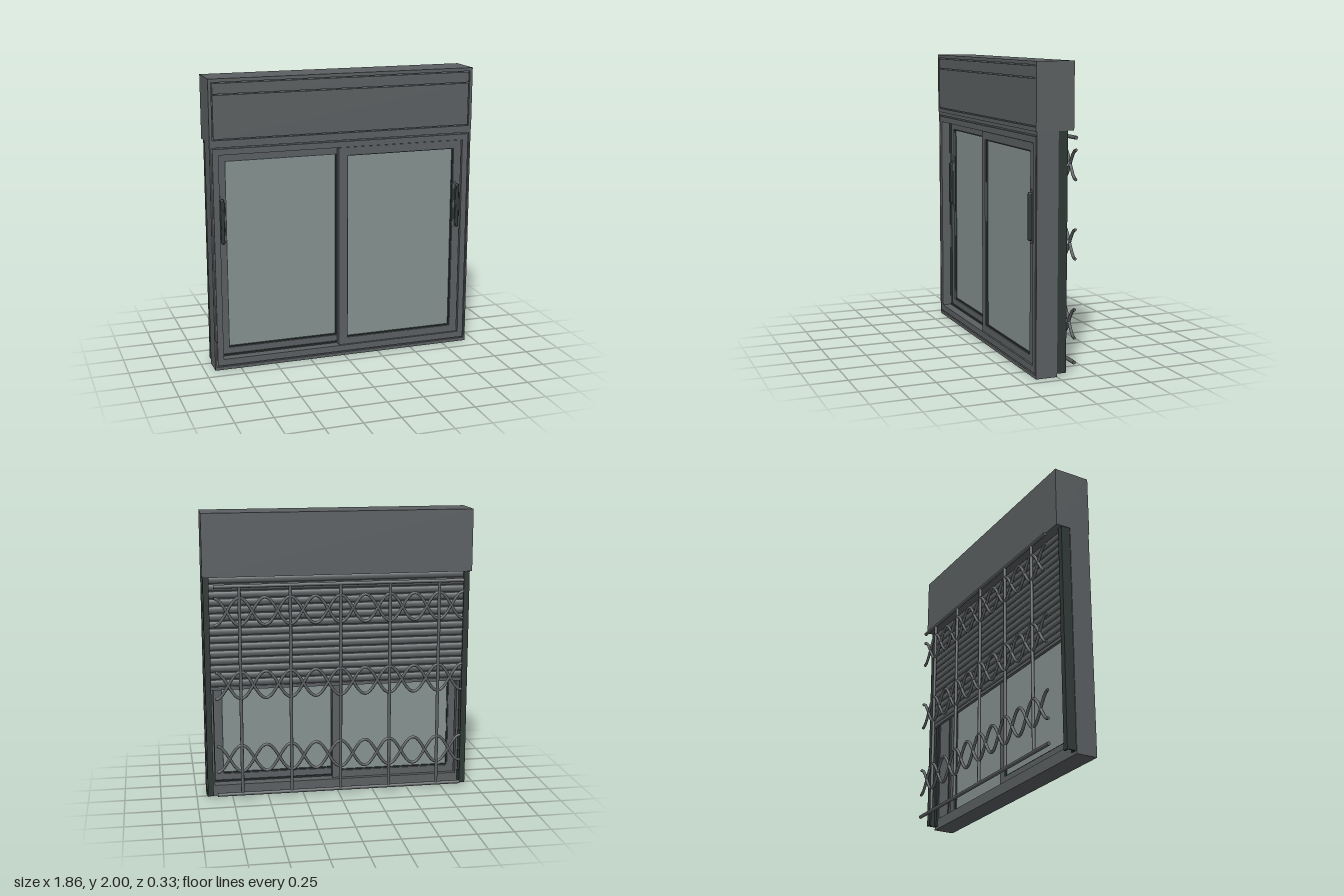
import * as THREE from 'three';

const paint = new THREE.MeshStandardMaterial({ color: 0x5c6062 });
paint.name = 'grey painted metal';
const glassMat = new THREE.MeshStandardMaterial({ color: 0x869291 });
glassMat.name = 'tinted glass';
const dark = new THREE.MeshStandardMaterial({ color: 0x303937 });
dark.name = 'dark rubber';

function add(parent, name, geometry, material) {
  const mesh = new THREE.Mesh(geometry, material);
  mesh.name = name;
  parent.add(mesh);
  return mesh;
}

// Box given by its limits on each axis
function block(parent, name, [x0, x1], [y0, y1], [z0, z1], material = paint) {
  const mesh = add(parent, name, new THREE.BoxGeometry(x1 - x0, y1 - y0, z1 - z0), material);
  mesh.position.set((x0 + x1) / 2, (y0 + y1) / 2, (z0 + z1) / 2);
  return mesh;
}

function trace(path, [x0, x1], [y0, y1]) {
  path.moveTo(x0, y0);
  path.lineTo(x1, y0);
  path.lineTo(x1, y1);
  path.lineTo(x0, y1);
  path.closePath();
  return path;
}

// Rectangular ring: outer limits, inner limits, depth range
function ring(parent, name, outer, inner, [z0, z1], material = paint) {
  const shape = trace(new THREE.Shape(), ...outer);
  shape.holes.push(trace(new THREE.Path(), ...inner));
  const geometry = new THREE.ExtrudeGeometry(shape, { depth: z1 - z0, bevelEnabled: false });
  return add(parent, name, geometry.translate(0, 0, z0), material);
}

// Upright oblong with round ends, rising from z = 0
function oblong(width, height, depth, bevel) {
  const r = width / 2 - bevel, h = height / 2 - bevel - r;
  const shape = new THREE.Shape();
  shape.absarc(0, h, r, 0, Math.PI);
  shape.absarc(0, -h, r, Math.PI, Math.PI * 2);
  shape.closePath();
  return new THREE.ExtrudeGeometry(shape, {
    depth: depth - bevel, bevelEnabled: bevel > 0, bevelSize: bevel,
    bevelThickness: bevel, bevelSegments: 3, curveSegments: 10,
  });
}

function handle(x, z) {
  const group = new THREE.Group();
  group.name = 'handle';
  add(group, 'handlePlate', oblong(0.044, 0.345, 0.005, 0), paint);
  add(group, 'handleGrip', oblong(0.026, 0.31, 0.025, 0.006), dark);
  group.position.set(x, 1.03, z);
  return group;
}

// Sliding sash with its glass and the rubber seal around it
function sash(name, outer, inner, z0, z1) {
  const group = new THREE.Group();
  group.name = name;
  const [[x0, x1], [y0, y1]] = inner;
  const s = 0.008, mid = (z0 + z1) / 2;
  ring(group, 'sashFrame', outer, inner, [z0, z1]);
  ring(group, 'glassSeal', inner, [[x0 + s, x1 - s], [y0 + s, y1 - s]], [z0 + 0.008, z1 - 0.008], dark);
  block(group, 'glass', [x0, x1], [y0, y1], [mid - 0.006, mid + 0.006], glassMat);
  return group;
}

function shutterBox() {
  const group = new THREE.Group();
  group.name = 'shutterBox';
  block(group, 'boxBody', [-0.93, 0.93], [1.57, 2], [-0.105, 0.138]);
  ring(group, 'boxRim', [[-0.93, 0.93], [1.57, 2]], [[-0.91, 0.91], [1.597, 1.977]], [0.138, 0.152]);
  block(group, 'upperPanel', [-0.903, 0.903], [1.9, 1.97], [0.138, 0.15]);
  block(group, 'lowerPanel', [-0.903, 0.903], [1.604, 1.893], [0.138, 0.15]);
  return group;
}

function windowFrame() {
  const group = new THREE.Group();
  group.name = 'windowFrame';
  const opening = [[-0.87, 0.87], [0.075, 1.497]];
  ring(group, 'frameBody', [[-0.93, 0.93], [0, 1.57]], opening, [0, 0.135]);
  ring(group, 'outerLip', [[-0.93, 0.93], [0, 1.57]], [[-0.92, 0.92], [0.022, 1.547]], [0.135, 0.146]);
  ring(group, 'innerLip', [[-0.911, 0.911], [0.031, 1.538]], opening, [0.135, 0.146]);
  // Rail between the two sliding tracks
  ring(group, 'trackRail', opening, [[-0.862, 0.862], [0.085, 1.488]], [0.072, 0.084], dark);
  return group;
}

// Channel on each side that the shutter runs in
function shutterGuide(side) {
  const group = new THREE.Group();
  group.name = 'shutterGuide';
  const span = (a, b) => (side > 0 ? [a, b] : [-b, -a]);
  const height = [0.02, 1.57];
  block(group, 'guideWall', span(0.915, 0.925), height, [-0.065, 0], dark);
  block(group, 'guideBackFlange', span(0.885, 0.915), height, [-0.065, -0.053], dark);
  block(group, 'guideFrontFlange', span(0.885, 0.915), height, [-0.012, 0], dark);
  return group;
}

// Half-lowered roller shutter of bulging slats
function shutter() {
  const group = new THREE.Group();
  group.name = 'rollerShutter';
  const bottom = 0.8, count = 15, pitch = (1.57 - bottom) / count;
  const slat = new THREE.CylinderGeometry(1, 1, 1.81, 16, 1);
  slat.rotateZ(Math.PI / 2).scale(1, pitch / 2 - 0.002, 0.014);
  for (let i = 0; i < count; i++) {
    add(group, 'slat', slat, paint).position.set(0, bottom + pitch * (i + 0.5), -0.034);
  }
  block(group, 'slatBacking', [-0.905, 0.905], [bottom, 1.57], [-0.037, -0.031]);
  block(group, 'bottomSlat', [-0.905, 0.905], [0.778, bottom], [-0.045, -0.023]);
  return group;
}

// Security grille with paired waves
function grille() {
  const group = new THREE.Group();
  group.name = 'grille';
  const half = 0.86, pitch = 0.344;
  const low = 0.058, high = 1.517;
  const rail = new THREE.CylinderGeometry(0.0125, 0.0125, half * 2, 12).rotateZ(Math.PI / 2);
  for (const y of [low, high]) add(group, 'grilleRail', rail, paint).position.y = y;

  const upright = new THREE.CylinderGeometry(0.0115, 0.0115, high - low, 12);
  for (let i = -2; i <= 2; i++) {
    add(group, 'grilleBar', upright, paint).position.set(i * pitch, (low + high) / 2, 0);
  }

  for (const sign of [1, -1]) {
    const points = [];
    for (let i = 0; i <= 80; i++) {
      const x = -half + (2 * half * i) / 80;
      points.push(new THREE.Vector3(x, sign * 0.094 * Math.cos((x / pitch) * Math.PI * 2), 0));
    }
    const wave = new THREE.TubeGeometry(new THREE.CatmullRomCurve3(points), 160, 0.0105, 8);
    const tip = new THREE.CircleGeometry(0.0105, 8).rotateY(Math.PI / 2);
    for (const y of [0.315, 0.835, 1.345]) {
      add(group, 'grilleWave', wave, paint).position.y = y;
      for (const end of [1, -1]) {
        const cap = add(group, 'waveTip', tip, paint);
        cap.position.set(end * half, y - sign * 0.094, 0);
        if (end < 0) cap.rotation.y = Math.PI;
      }
    }
  }
  group.position.z = -0.153;
  return group;
}

export function createModel() {
  const model = new THREE.Group();
  model.name = 'slidingWindow';
  model.add(shutterBox(), windowFrame(), shutter(), grille());
  model.add(shutterGuide(1), shutterGuide(-1));

  // Front sash on the left, rear sash on the right
  model.add(sash('frontSash', [[-0.038, 0.864], [0.078, 1.494]], [[0.022, 0.808], [0.128, 1.442]], 0.09, 0.138));
  model.add(sash('rearSash', [[-0.864, 0.03], [0.078, 1.494]], [[-0.815, -0.03], [0.128, 1.442]], 0.024, 0.07));
  model.add(handle(0.835, 0.138), handle(-0.84, 0.07));
  return model;
}
